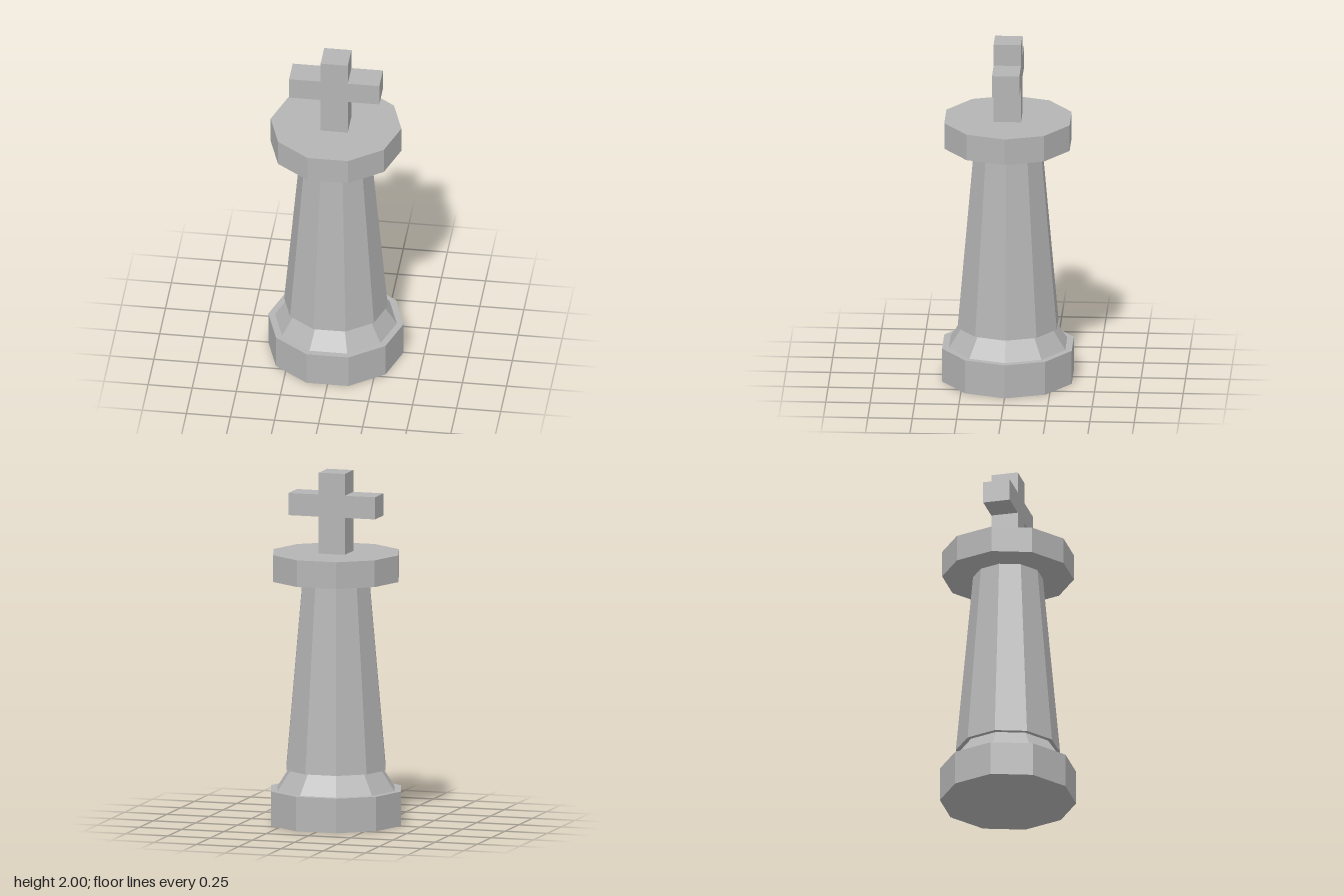
import * as THREE from 'three';

export function createModel() {
  const model = new THREE.Group();
  model.name = 'chessKing';
  const grey = new THREE.MeshStandardMaterial({ color: 0xb4b4b4, flatShading: true });
  grey.name = 'grey';

  // Ten-sided tier with corners on the x axis
  function tier(name, rBottom, rTop, y0, y1) {
    const geometry = new THREE.CylinderGeometry(rTop, rBottom, y1 - y0, 10);
    geometry.rotateY(Math.PI / 2);
    geometry.translate(0, (y0 + y1) / 2, 0);
    const mesh = new THREE.Mesh(geometry, grey);
    mesh.name = name;
    model.add(mesh);
  }
  tier('base', 0.384, 0.384, 0, 0.196);
  tier('baseSlope', 0.345, 0.268, 0.196, 0.312);
  tier('body', 0.294, 0.197, 0.312, 1.388);
  tier('collar', 0.371, 0.371, 1.388, 1.54);

  // Cross: one outline extruded front to back
  const w = 0.077, arm = 0.256, bottom = 1.54, armLow = 1.75, armHigh = 1.876, top = 2;
  const outline = new THREE.Shape([
    [-w, bottom], [w, bottom], [w, armLow], [arm, armLow], [arm, armHigh], [w, armHigh],
    [w, top], [-w, top], [-w, armHigh], [-arm, armHigh], [-arm, armLow], [-w, armLow],
  ].map(([x, y]) => new THREE.Vector2(x, y)));
  const crossGeometry = new THREE.ExtrudeGeometry(outline, { depth: 2 * w, bevelEnabled: false });
  crossGeometry.translate(0, 0, -w);
  const cross = new THREE.Mesh(crossGeometry, grey);
  cross.name = 'cross';
  model.add(cross);

  return model;
}
